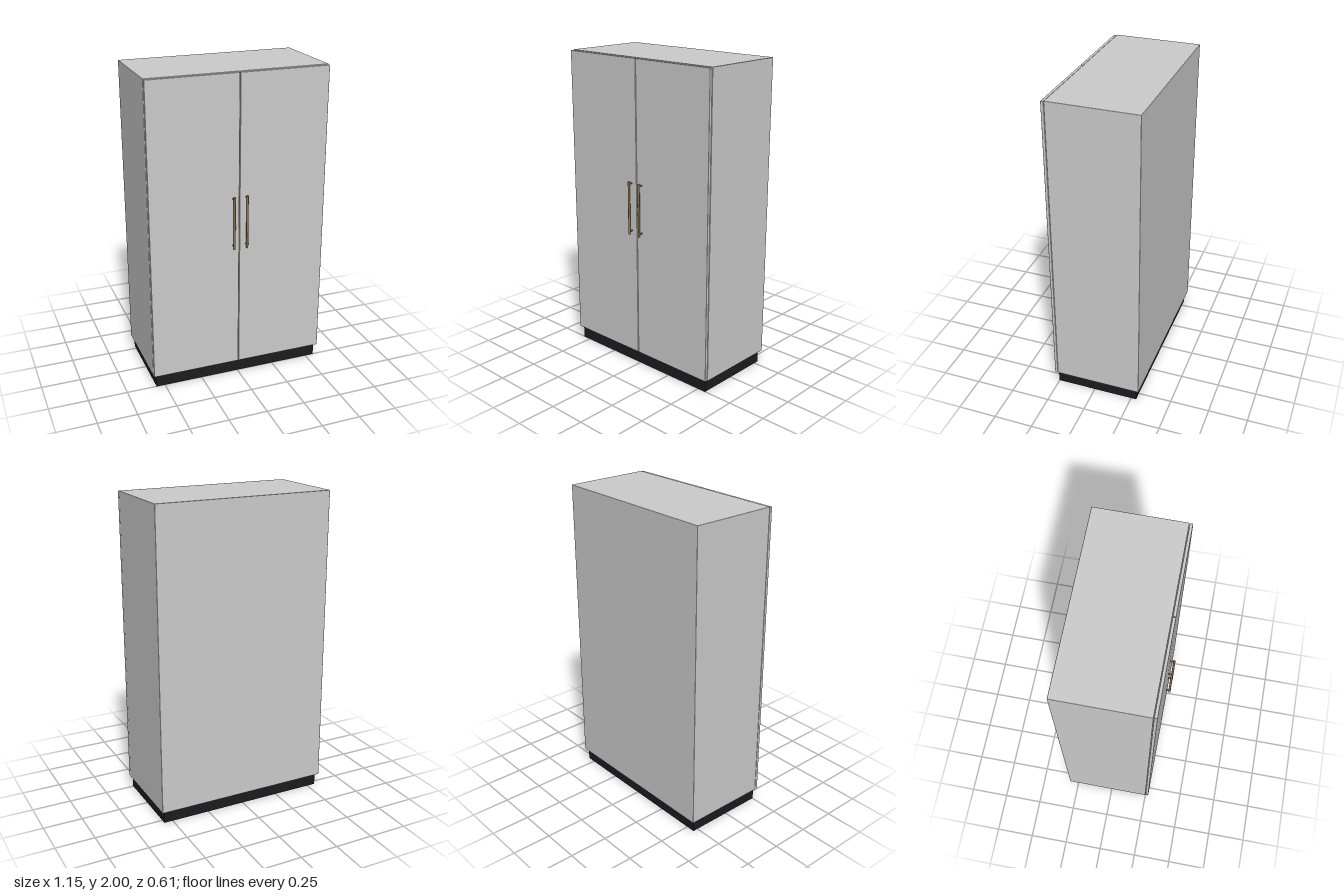
import * as THREE from 'three';
import { RoundedBoxGeometry } from 'three/addons/geometries/RoundedBoxGeometry.js';

const paint = new THREE.MeshStandardMaterial({ color: 0xcccccc });
const black = new THREE.MeshStandardMaterial({ color: 0x1c1c1e });
const brass = new THREE.MeshStandardMaterial({ color: 0x8f7448 });

function add(parent, name, geometry, material, x, y, z) {
  const mesh = new THREE.Mesh(geometry, material);
  mesh.name = name;
  mesh.position.set(x, y, z);
  parent.add(mesh);
  return mesh;
}

// Box given by its low and high corners, with softly eased edges if r > 0
function box(parent, name, material, [x0, y0, z0], [x1, y1, z1], r = 0) {
  const size = [x1 - x0, y1 - y0, z1 - z0];
  const geometry = r ? new RoundedBoxGeometry(...size, 2, r) : new THREE.BoxGeometry(...size);
  return add(parent, name, geometry, material, (x0 + x1) / 2, (y0 + y1) / 2, (z0 + z1) / 2);
}

// Upright bar handle on two standoffs
function makeHandle(name, x) {
  const handle = new THREE.Group();
  handle.name = name;
  const bottom = 0.9, top = 1.244, front = 0.297;
  add(handle, 'handleBar', new THREE.CylinderGeometry(0.007, 0.007, top - bottom, 20),
    brass, x, (bottom + top) / 2, front);
  for (const y of [bottom + 0.02, top - 0.015]) {
    const post = add(handle, 'handleStandoff', new THREE.CylinderGeometry(0.005, 0.005, 0.027, 16),
      brass, x, y, 0.2835);
    post.rotation.x = Math.PI / 2;
  }
  return handle;
}

export function createModel() {
  const cabinet = new THREE.Group();
  cabinet.name = 'cabinet';

  // Recessed plinth and main carcass
  box(cabinet, 'plinth', black, [-0.557, 0, -0.284], [0.557, 0.081, 0.252]);
  box(cabinet, 'carcass', paint, [-0.575, 0.08, -0.304], [0.575, 2, 0.251], 0.003);

  // Mirrored doors with a narrow centre gap, and their handles
  for (const [side, s] of [['left', 1], ['right', -1]]) {
    const inner = s * 0.002, outer = s * 0.574;
    box(cabinet, side + 'Door', paint,
      [Math.min(inner, outer), 0.084, 0.253], [Math.max(inner, outer), 1.997, 0.272], 0.003);
    cabinet.add(makeHandle(side + 'Handle', s * 0.042));
  }
  return cabinet;
}
